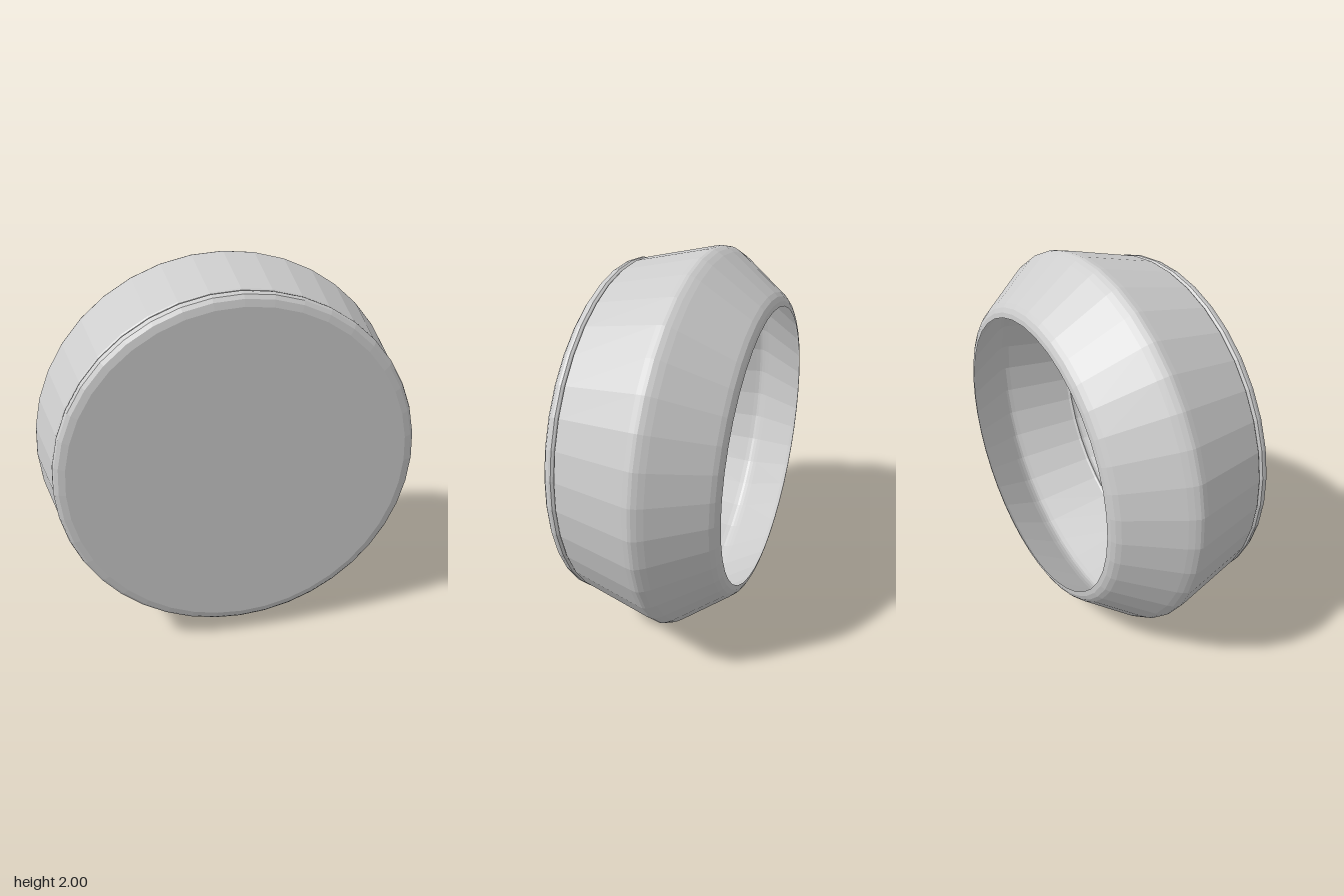
import * as THREE from 'three';

const SIDES = 40;

// Thin shell turned around the z axis from [radius, z] points, listed back to front
function turned(name, profile, material) {
  const points = profile.map(([r, z]) => new THREE.Vector2(r, z));
  const geometry = new THREE.LatheGeometry(points, SIDES);
  geometry.rotateX(Math.PI / 2);
  const mesh = new THREE.Mesh(geometry, material);
  mesh.name = name;
  mesh.position.y = 1;
  return mesh;
}

export function createModel() {
  const group = new THREE.Group();
  group.name = 'roundCap';

  const grey = new THREE.MeshStandardMaterial({
    color: 0xcccccc, flatShading: true, side: THREE.DoubleSide,
  });
  grey.name = 'light grey';

  // Skirt: open back rim, sloped shoulder, rounded widest edge, tapering wall
  group.add(turned('skirt', [
    [0.73, -0.394], [0.755, -0.391], [0.778, -0.38], [0.797, -0.362],
    [0.972, -0.137], [0.988, -0.112], [0.998, -0.09], [1, -0.075], [0.996, -0.05],
    [0.914, 0.315], [0.908, 0.323], [0.897, 0.326],
  ], grey));

  // Front cover: groove, rounded edge and flat closed face
  group.add(turned('frontCover', [
    [0.897, 0.326], [0.905, 0.331], [0.911, 0.34], [0.911, 0.352],
    [0.903, 0.371], [0.885, 0.386], [0.852, 0.394], [0, 0.394],
  ], grey));

  return group;
}
